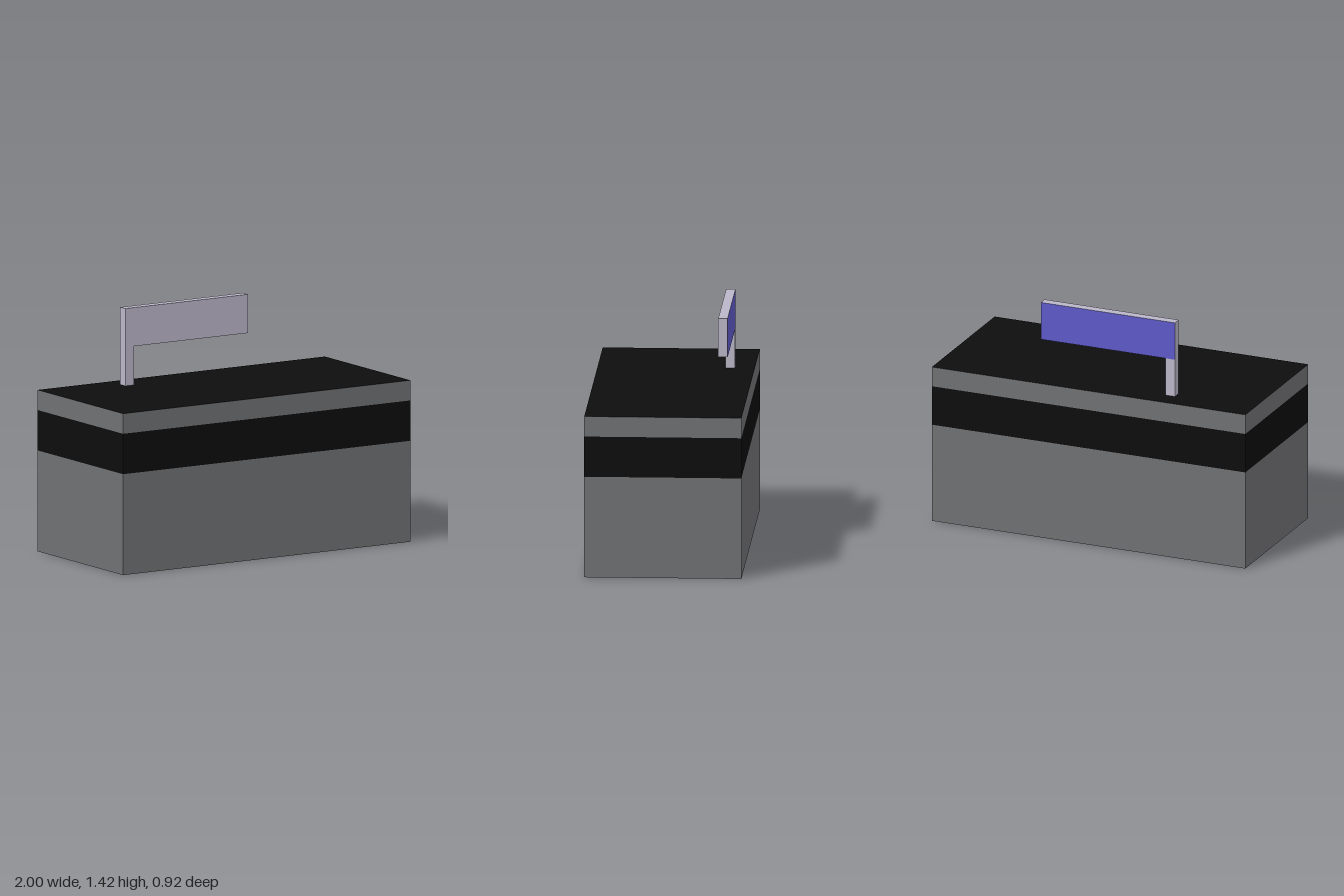
import * as THREE from 'three';

const paint = (color) => new THREE.MeshStandardMaterial({ color });

// Box given by its min and max corners; material may be one or six (+x -x +y -y +z -z)
function block(name, [x0, y0, z0], [x1, y1, z1], material) {
  const mesh = new THREE.Mesh(new THREE.BoxGeometry(x1 - x0, y1 - y0, z1 - z0), material);
  mesh.position.set((x0 + x1) / 2, (y0 + y1) / 2, (z0 + z1) / 2);
  mesh.name = name;
  return mesh;
}

export function createModel() {
  const model = new THREE.Group();
  model.name = 'buildingWithRoofSign';

  const grey = paint(0x707173);
  const black = paint(0x0d0d0d);
  const pale = paint(0xbbb6c8);
  const blue = paint(0x5e5ac8);

  // Building: grey walls, dark window band, grey parapet; roof and underside are black
  const capped = [grey, grey, black, black, grey, grey];
  const storeys = [
    ['lowerWalls', 0, 0.6, capped],
    ['windowBand', 0.6, 0.84, black],
    ['parapet', 0.84, 0.96, capped],
  ];
  for (const [name, y0, y1, material] of storeys) {
    model.add(block(name, [-1, y0, -0.46], [1, y1, 0.46], material));
  }

  // Roof sign: board with a blue rear face, carried on a single post at its right end
  const sign = new THREE.Group();
  sign.name = 'roofSign';
  sign.add(
    block('signPost', [-0.5, 0.96, -0.345], [-0.44, 1.19, -0.29], pale),
    block('signBoard', [-0.5, 1.19, -0.345], [0.355, 1.42, -0.29], [pale, pale, pale, pale, pale, blue]),
  );
  model.add(sign);

  return model;
}
